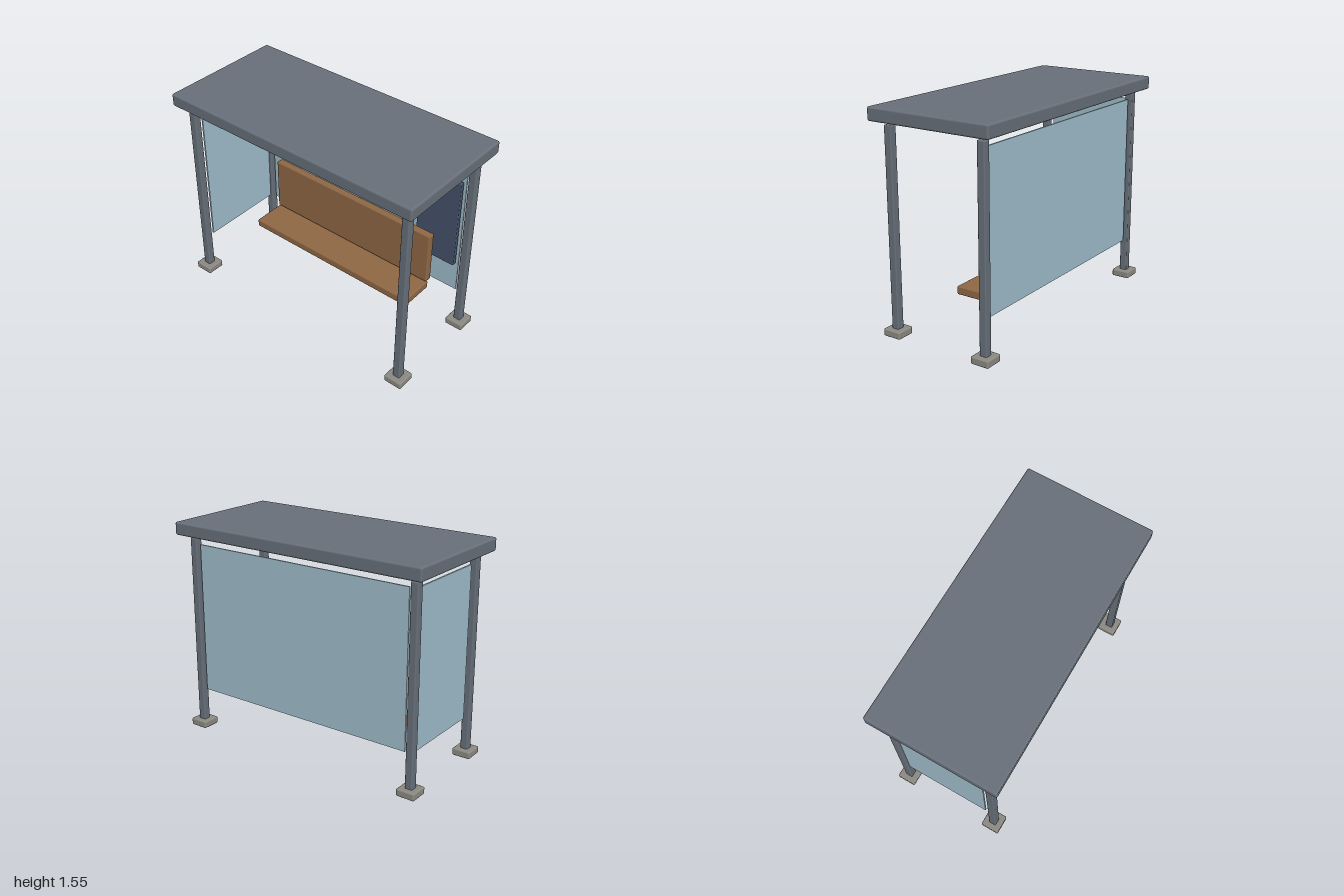
import * as THREE from 'three';
import { RoundedBoxGeometry } from 'three/addons/geometries/RoundedBoxGeometry.js';

const material = (color) => new THREE.MeshStandardMaterial({ color });

export function createModel() {
  const shelter = new THREE.Group();
  shelter.name = 'shelter';

  const metal = material(0x68707a);
  const concrete = material(0x8c8a82);
  const wood = material(0x8f6845);
  const glass = material(0xa0becc);
  const navy = material(0x44526a);
  const lamp = material(0xc8a878);

  // Box given by its [min, max] span on each axis, with softened edges
  function addBox(name, [x0, x1], [y0, y1], [z0, z1], mat, radius, parent = shelter) {
    const size = [x1 - x0, y1 - y0, z1 - z0];
    const geometry = radius
      ? new RoundedBoxGeometry(...size, 3, radius)
      : new THREE.BoxGeometry(...size);
    const mesh = new THREE.Mesh(geometry, mat);
    mesh.name = name;
    mesh.position.set((x0 + x1) / 2, (y0 + y1) / 2, (z0 + z1) / 2);
    parent.add(mesh);
    return mesh;
  }
  const around = (c, half) => [c - half, c + half];

  // Roof slab and the light strip hanging below it
  addBox('roof', [-1, 1], [1.457, 1.55], [-0.467, 0.467], metal, 0.014);
  addBox('lightStrip', [-0.75, 0.75], [1.432, 1.452], [-0.055, 0.055], lamp, 0.004);

  // Four posts on footings
  for (const sx of [-1, 1]) {
    for (const sz of [-1, 1]) {
      const corner = new THREE.Group();
      corner.name = (sz > 0 ? 'front' : 'back') + (sx > 0 ? 'Left' : 'Right') + 'Post';
      const x = sx * 0.907, z = sz * 0.362;
      addBox('post', around(x, 0.0275), [0.03, 1.432], around(z, 0.0275), metal, 0.008, corner);
      addBox('footing', around(x, 0.068), [0, 0.052], around(z, 0.068), concrete, 0.01, corner);
      shelter.add(corner);
    }
  }

  // Glazing: full back wall and one end wall
  addBox('backGlass', [-0.86, 0.86], [0.295, 1.388], around(-0.362, 0.006), glass);
  addBox('sideGlass', around(-0.907, 0.006), [0.295, 1.388], [-0.36, 0.3], glass);

  // Bench
  const bench = new THREE.Group();
  bench.name = 'bench';
  addBox('seat', [-0.7, 0.7], [0.299, 0.358], [-0.242, 0.02], wood, 0.01, bench);
  addBox('backrest', [-0.7, 0.7], [0.364, 0.769], [-0.27, -0.215], wood, 0.01, bench);
  shelter.add(bench);

  // Plain notice board on the back wall
  addBox('noticeBoard', [0.522, 0.847], [0.535, 1.225], [-0.345, -0.311], navy, 0.006);

  return shelter;
}
